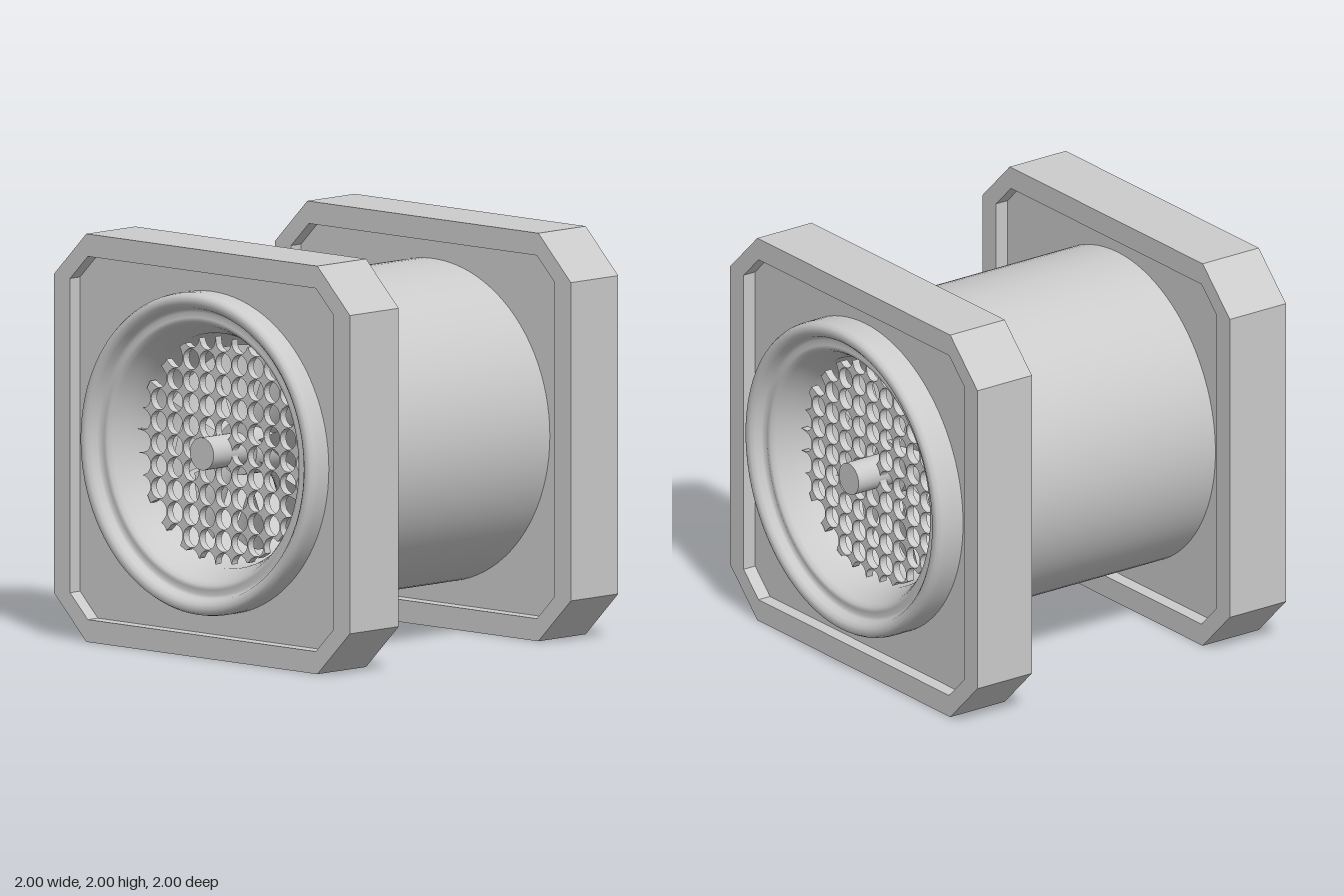
import * as THREE from 'three';

const GREY = { color: 0xcccccc };

function mesh(name, geometry, options = {}) {
  const m = new THREE.Mesh(geometry, new THREE.MeshStandardMaterial({ ...GREY, ...options }));
  m.name = name;
  return m;
}

// Square outline with cut corners
function octagon(Kind, half, cut) {
  const a = half, b = half - cut;
  return new Kind([[a, -b], [a, b], [b, a], [-b, a], [-a, b], [-a, -b], [-b, -a], [b, -a]]
    .map(([x, y]) => new THREE.Vector2(x, y)));
}

function circleHole(x, y, r, segments = 24) {
  const points = [];
  for (let i = 0; i < segments; i++) {
    const a = -i / segments * Math.PI * 2;
    points.push(new THREE.Vector2(x + r * Math.cos(a), y + r * Math.sin(a)));
  }
  return new THREE.Path(points);
}

// Extrude a shape, then turn its depth onto the x axis, from x0 to x1
function extrudeX(shape, x0, x1) {
  const g = new THREE.ExtrudeGeometry(shape, { depth: x1 - x0, bevelEnabled: false, curveSegments: 64 });
  return g.rotateY(Math.PI / 2).translate(x0, 0, 0);
}

// End flange: thick rim around a plate recessed on both faces
function flange(name, x0, x1) {
  const group = new THREE.Group();
  group.name = name;
  const rim = octagon(THREE.Shape, 1, 0.22);
  rim.holes.push(octagon(THREE.Path, 0.89, 0.12));
  group.add(mesh('flangeRim', extrudeX(rim, x0, x1)));
  const plate = octagon(THREE.Shape, 0.89, 0.12);
  plate.holes.push(circleHole(0, 0, 0.785, 96));
  group.add(mesh('flangePlate', extrudeX(plate, x0 + 0.07, x1 - 0.07)));
  return group;
}

// Hollow barrel with a rolled lip and funnel mouth at each end
function barrel() {
  const half = [[0.57, 0.7], [0.575, 0.8], [0.6, 0.86], [0.63, 0.92], [0.645, 0.94], [0.665, 0.945],
    [0.69, 0.935], [0.705, 0.95], [0.718, 0.98], [0.735, 0.996], [0.755, 1], [0.775, 0.995],
    [0.786, 0.975], [0.79, 0.95], [0.79, 0.9]];
  const points = [...half, ...half.map(([r, x]) => [r, -x]).reverse(), half[0]]
    .map(([r, x]) => new THREE.Vector2(r, x));
  const g = new THREE.LatheGeometry(points, 96).rotateZ(-Math.PI / 2);
  return mesh('barrel', g, { side: THREE.DoubleSide });
}

// Perforated disc; holes that cross its edge bite into the outline
function grille() {
  const R = 0.56, r = 0.052, pitch = 0.109, inner = [], edge = [];
  for (let i = -6; i <= 6; i++) {
    for (let j = -6; j <= 6; j++) {
      const x = 0.02 + i * pitch, y = -0.005 + j * pitch, d = Math.hypot(x, y);
      if (d + r < R - 0.004) inner.push([x, y]);
      else if (d - r < R) edge.push([x, y]);
    }
  }
  const outline = [], steps = 720;
  for (let k = 0; k < steps; k++) {
    const a = k / steps * Math.PI * 2, c = Math.cos(a), s = Math.sin(a);
    let reach = R;
    for (const [x, y] of edge) {
      const along = x * c + y * s, off = x * s - y * c;
      if (along > 0 && Math.abs(off) < r) reach = Math.min(reach, along - Math.sqrt(r * r - off * off));
    }
    outline.push(new THREE.Vector2(reach * c, reach * s));
  }
  const shape = new THREE.Shape(outline);
  for (const [x, y] of inner) shape.holes.push(circleHole(x, y, r));
  return mesh('grille', extrudeX(shape, 0.78, 0.82));
}

// Fan blade: twisted sheet that widens towards its tip
function bladeGeometry() {
  const g = new THREE.PlaneGeometry(1, 1, 6, 6);
  const p = g.attributes.position;
  for (let i = 0; i < p.count; i++) {
    const radius = 0.1 + (p.getX(i) + 0.5) * 0.4;
    const v = p.getY(i), angle = v * 0.82;
    p.setXYZ(i, v * 0.16, radius * Math.cos(angle), radius * Math.sin(angle));
  }
  g.computeVertexNormals();
  return g;
}

function fan() {
  const group = new THREE.Group();
  group.name = 'fan';
  const hub = mesh('fanHub', new THREE.CylinderGeometry(0.13, 0.13, 0.2, 32).rotateZ(Math.PI / 2));
  group.add(hub);
  const geometry = bladeGeometry(), count = 8;
  for (let i = 0; i < count; i++) {
    const blade = mesh('fanBlade', geometry, { side: THREE.DoubleSide });
    blade.rotation.x = i / count * Math.PI * 2;
    group.add(blade);
  }
  group.position.x = 0.6;
  return group;
}

export function createModel() {
  const model = new THREE.Group();
  model.name = 'ductFan';
  model.add(barrel(), flange('leftFlange', 0.59, 0.92), flange('rightFlange', -0.95, -0.61));

  // Grille and fan at both ends
  for (const side of [0, 1]) {
    const end = new THREE.Group();
    end.name = side ? 'rightEnd' : 'leftEnd';
    end.add(grille(), fan());
    end.rotation.y = side * Math.PI;
    model.add(end);
  }

  // Shaft along the axis, protruding through both grilles
  model.add(mesh('shaft', new THREE.CylinderGeometry(0.08, 0.08, 1.9, 32).rotateZ(Math.PI / 2)));

  model.position.y = 1;
  const root = new THREE.Group();
  root.add(model);
  return root;
}
